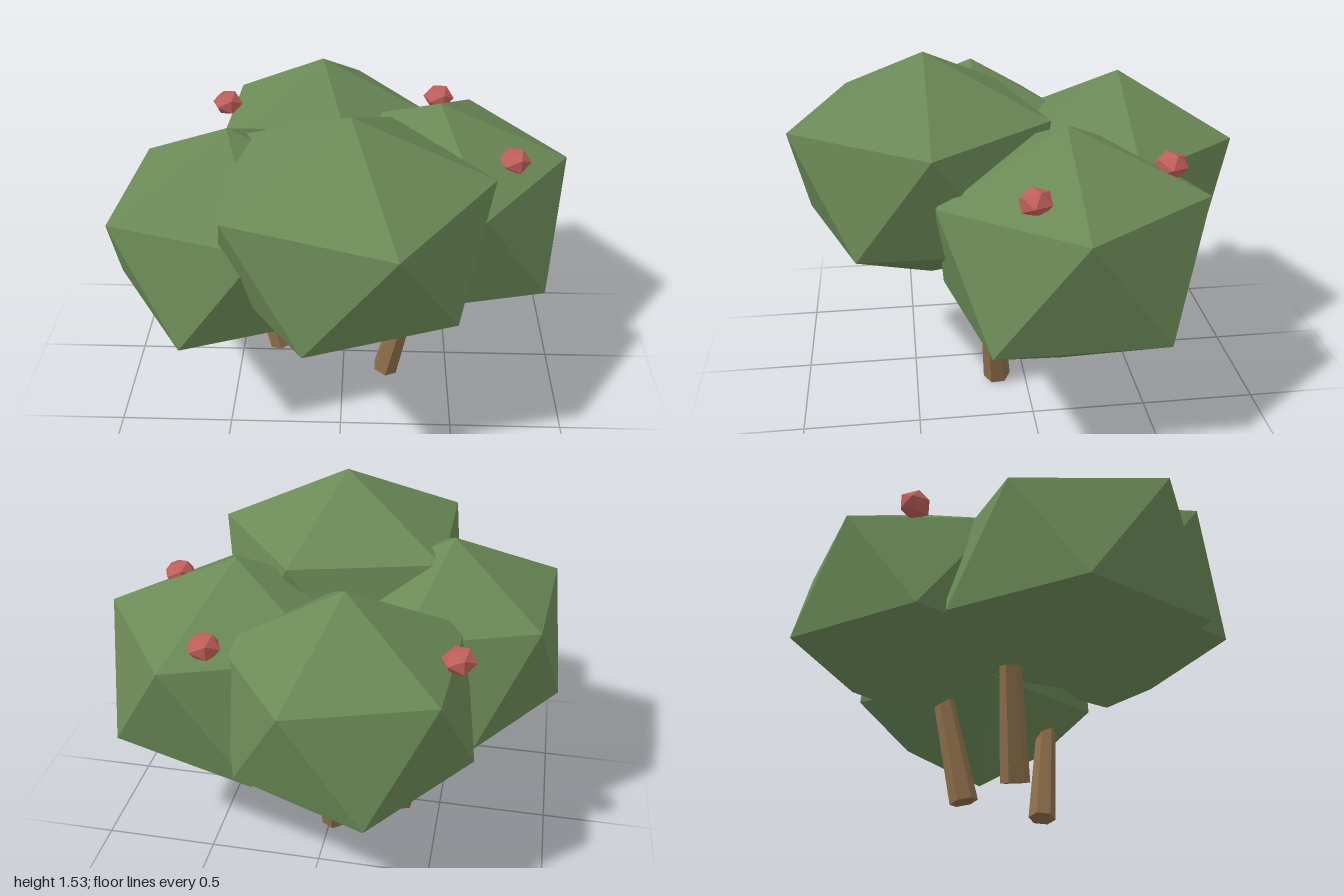
import * as THREE from 'three';
import { ConvexGeometry } from 'three/addons/geometries/ConvexGeometry.js';

const material = (color) => new THREE.MeshStandardMaterial({ color, flatShading: true });

// Squashed, slightly irregular icosahedron: top and bottom tips plus two staggered rings of five.
// heights = [bottom, lower ring, upper ring, top]; radii run from +x towards +z.
function clumpGeometry(x, z, heights, upperRadii, lowerRadii) {
  const [bottom, lower, upper, top] = heights;
  const points = [new THREE.Vector3(x, top, z), new THREE.Vector3(x, bottom, z)];
  for (let i = 0; i < 5; i++) {
    const a = (i * 2 * Math.PI) / 5;
    const b = a + Math.PI / 5;
    points.push(
      new THREE.Vector3(x + upperRadii[i] * Math.cos(a), upper, z + upperRadii[i] * Math.sin(a)),
      new THREE.Vector3(x + lowerRadii[i] * Math.cos(b), lower, z + lowerRadii[i] * Math.sin(b))
    );
  }
  return new ConvexGeometry(points);
}

export function createModel() {
  const model = new THREE.Group();
  model.name = 'berryBush';
  const leaf = material(0x6b8a57);
  const bark = material(0x8f6f4b);
  const fruit = material(0xc0605c);

  const add = (name, geometry, mat) => {
    const mesh = new THREE.Mesh(geometry, mat);
    mesh.name = name;
    model.add(mesh);
    return mesh;
  };

  // Four overlapping foliage clumps
  const clumps = [
    ['frontFoliage', 0.04, 0.41, [0.49, 0.775, 1.255, 1.525],
      [0.58, 0.6, 0.594, 0.59, 0.547], [0.54, 0.557, 0.56, 0.56, 0.556]],
    ['leftFoliage', 0.42, -0.14, [0.22, 0.55, 1.05, 1.31],
      [0.58, 0.57, 0.57, 0.57, 0.59], [0.605, 0.53, 0.57, 0.6, 0.6]],
    ['rightFoliage', -0.48, 0.17, [0.35, 0.6, 1.07, 1.34],
      [0.53, 0.55, 0.57, 0.5, 0.52], [0.55, 0.57, 0.52, 0.54, 0.54]],
    ['backFoliage', -0.11, -0.46, [0.37, 0.625, 1.08, 1.37],
      [0.53, 0.54, 0.566, 0.52, 0.52], [0.53, 0.54, 0.55, 0.55, 0.5]],
  ];
  for (const [name, ...spec] of clumps) add(name, clumpGeometry(...spec), leaf);

  // Three tapered six-sided trunks, leaning outwards
  const trunks = [
    ['rightTrunk', [-0.31, 0.015, -0.04], [-0.43, 0.47, -0.07]],
    ['backTrunk', [-0.02, 0.015, -0.23], [-0.015, 0.48, -0.33]],
    ['leftTrunk', [0.205, 0.015, 0.13], [0.3, 0.475, 0.165]],
  ];
  const up = new THREE.Vector3(0, 1, 0);
  for (const [name, from, to] of trunks) {
    const start = new THREE.Vector3(...from);
    const axis = new THREE.Vector3(...to).sub(start);
    const trunk = add(name, new THREE.CylinderGeometry(0.045, 0.061, axis.length(), 6), bark);
    trunk.position.copy(start).addScaledVector(axis, 0.5);
    trunk.quaternion.setFromUnitVectors(up, axis.normalize());
  }

  // Berries resting on the foliage
  const berries = [[0.74, 1.125, 0.03], [0.44, 1.125, -0.575], [-0.57, 1.125, -0.485]];
  berries.forEach((p, i) => {
    const berry = add(`berry${i + 1}`, new THREE.IcosahedronGeometry(0.073, 0), fruit);
    berry.position.set(...p);
    berry.scale.y = 0.82;
    berry.rotation.y = 0.4;
  });

  return model;
}
